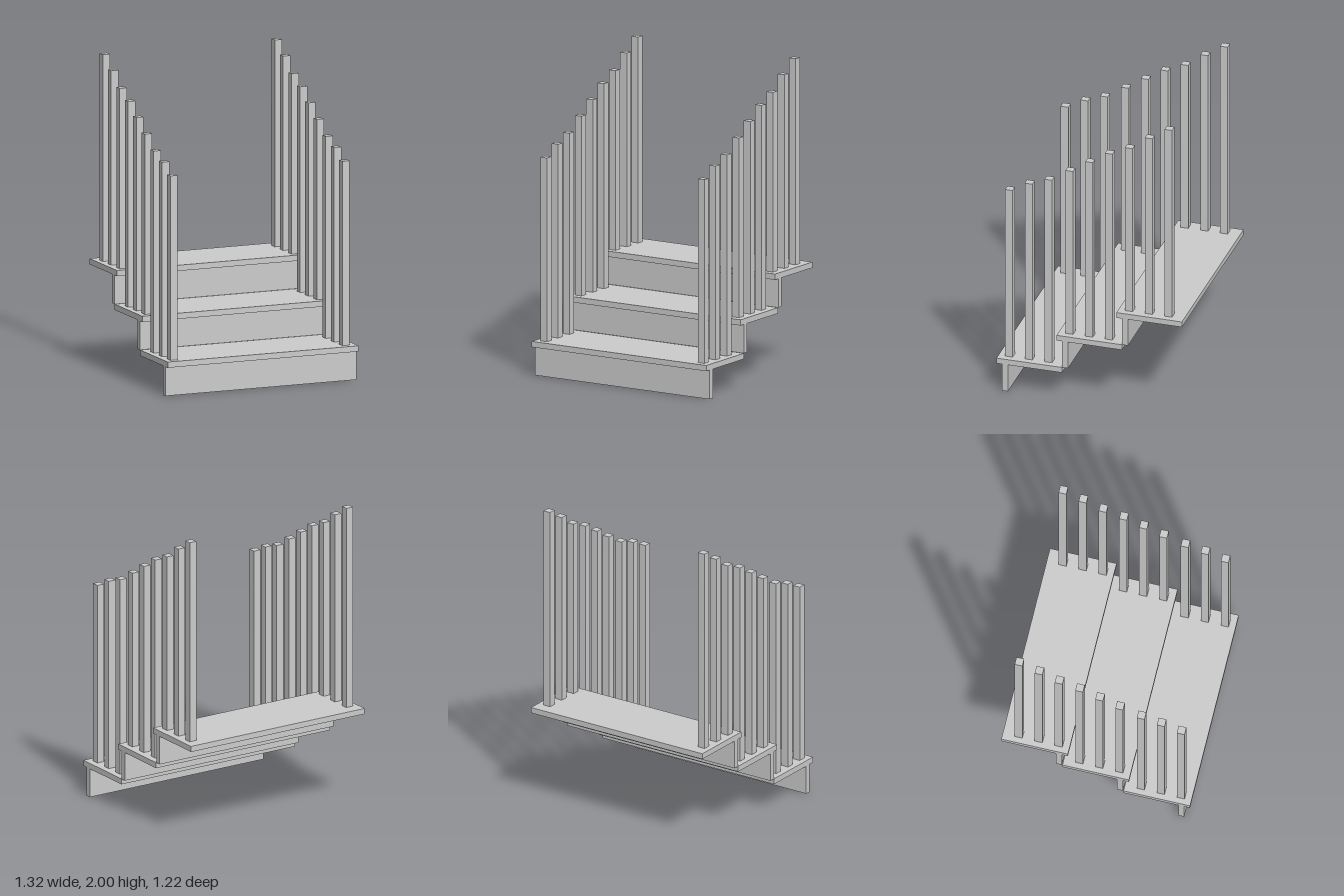
import * as THREE from 'three';

const WIDTH = 1.316;
const TREAD_DEPTH = 0.432;
const TREAD_THICK = 0.037;
const RISER_THICK = 0.038;
const POST = 0.05;

export function createModel() {
  const model = new THREE.Group();
  model.name = 'staircase';
  const material = new THREE.MeshStandardMaterial({ color: 0xcccccc });

  // Box given by its centre in x and z and its bottom and top heights
  function addBox(name, parent, x, z, bottom, top, width, depth) {
    const mesh = new THREE.Mesh(new THREE.BoxGeometry(width, top - bottom, depth), material);
    mesh.position.set(x, (bottom + top) / 2, z);
    mesh.name = name;
    parent.add(mesh);
  }

  // Each step: tread, riser set back below it, and three balusters per side
  const steps = [
    { z: 0.396, base: 0, top: 0.225, tops: [1.41, 1.475, 1.523] },
    { z: 0, base: 0.225, top: 0.448, tops: [1.607, 1.69, 1.77] },
    { z: -0.396, base: 0.448, top: 0.671, tops: [1.83, 1.92, 2] },
  ];
  const offsets = [0.147, 0.017, -0.113];

  steps.forEach((s, i) => {
    const step = new THREE.Group();
    step.name = `step${i + 1}`;
    model.add(step);

    addBox('tread', step, 0, s.z, s.top - TREAD_THICK, s.top, WIDTH, TREAD_DEPTH);
    addBox('riser', step, 0, s.z + 0.159, s.base, s.top - TREAD_THICK, WIDTH, RISER_THICK);

    // Balusters rise towards the back
    s.tops.forEach((height, k) => {
      const z = s.z + offsets[k] - (i === 1 ? 0.003 : 0);
      addBox('rightBaluster', step, -0.596, z, s.top, height, POST, POST);
      addBox('leftBaluster', step, 0.59, z, s.top, height, POST, POST);
    });
  });

  return model;
}
